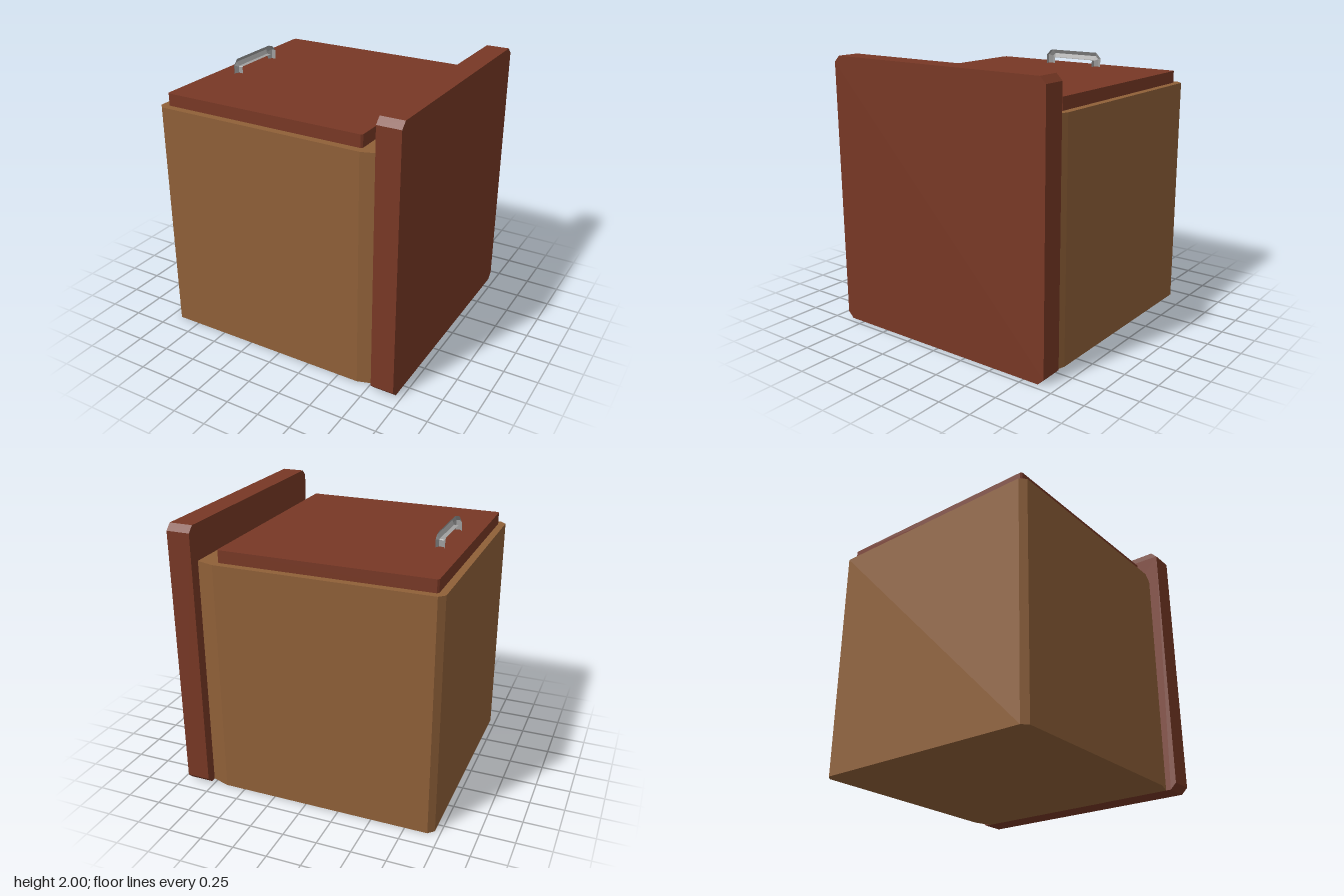
import * as THREE from 'three';

const mat = (color) => new THREE.MeshStandardMaterial({ color, flatShading: true });
const wood = mat(0x8f6038), redWood = mat(0x783825), metal = mat(0xa0a0a0);

// Straight extrusion of a polygon
function prism(points, depth) {
  const shape = new THREE.Shape(points.map(([x, y]) => new THREE.Vector2(x, y)));
  return new THREE.ExtrudeGeometry(shape, { depth, bevelEnabled: false });
}

// Rectangle with all four corners cut by c
function cutRect(x0, x1, y0, y1, c) {
  return [[x0 + c, y0], [x1 - c, y0], [x1, y0 + c], [x1, y1 - c],
    [x1 - c, y1], [x0 + c, y1], [x0, y1 - c], [x0, y0 + c]];
}

// Six-sided rod bent into a handle, with mitred corners
function handleGeometry() {
  const r = 0.0335, sides = 6, t = Math.SQRT2 - 1;
  // centre z, centre y, mitre z, mitre y
  const half = [[-0.216, 1.82, -1, 0], [-0.216, 1.888, -1, t], [-0.193, 1.911, -t, 1]];
  const path = [...half, ...half.map(([z, y, mz, my]) => [-z, y, -mz, my]).reverse()];
  const pos = [], index = [];
  for (const [z, y, mz, my] of path) {
    for (let j = 0; j < sides; j++) {
      const a = (j / sides) * Math.PI * 2;
      const out = r * Math.sin(a);
      pos.push(r * Math.cos(a), y + my * out, z + mz * out);
    }
  }
  for (let i = 0; i < path.length - 1; i++) {
    for (let j = 0; j < sides; j++) {
      const a = i * sides + j, b = i * sides + (j + 1) % sides;
      index.push(a, a + sides, b, b, a + sides, b + sides);
    }
  }
  const g = new THREE.BufferGeometry();
  g.setAttribute('position', new THREE.Float32BufferAttribute(pos, 3));
  g.setIndex(index);
  g.computeVertexNormals();
  return g;
}

export function createModel() {
  const model = new THREE.Group();
  const add = (name, geometry, material) => {
    const mesh = new THREE.Mesh(geometry, material);
    mesh.name = name;
    model.add(mesh);
    return mesh;
  };

  // Box body, narrowing toward the end panel
  const body = prism([[-0.915, -0.87], [0.65, -0.87], [0.785, -0.828], [0.785, 0.828],
    [0.65, 0.87], [-0.915, 0.87], [-0.957, 0.828], [-0.957, -0.828]], 1.74);
  add('body', body.rotateX(-Math.PI / 2), wood);

  // Raised lid on top
  const lid = add('lid', prism(cutRect(-0.905, 0.64, -0.815, 0.815, 0.012), 0.09).rotateX(-Math.PI / 2), redWood);
  lid.position.y = 1.74;

  // Upright end panel with cut corners
  const panel = add('endPanel', prism(cutRect(-0.912, 0.912, 0, 2, 0.045), 0.172).rotateY(Math.PI / 2), redWood);
  panel.position.x = 0.782;

  // Handle on the lid
  const handle = add('handle', handleGeometry(), metal);
  handle.position.x = -0.734;

  return model;
}
